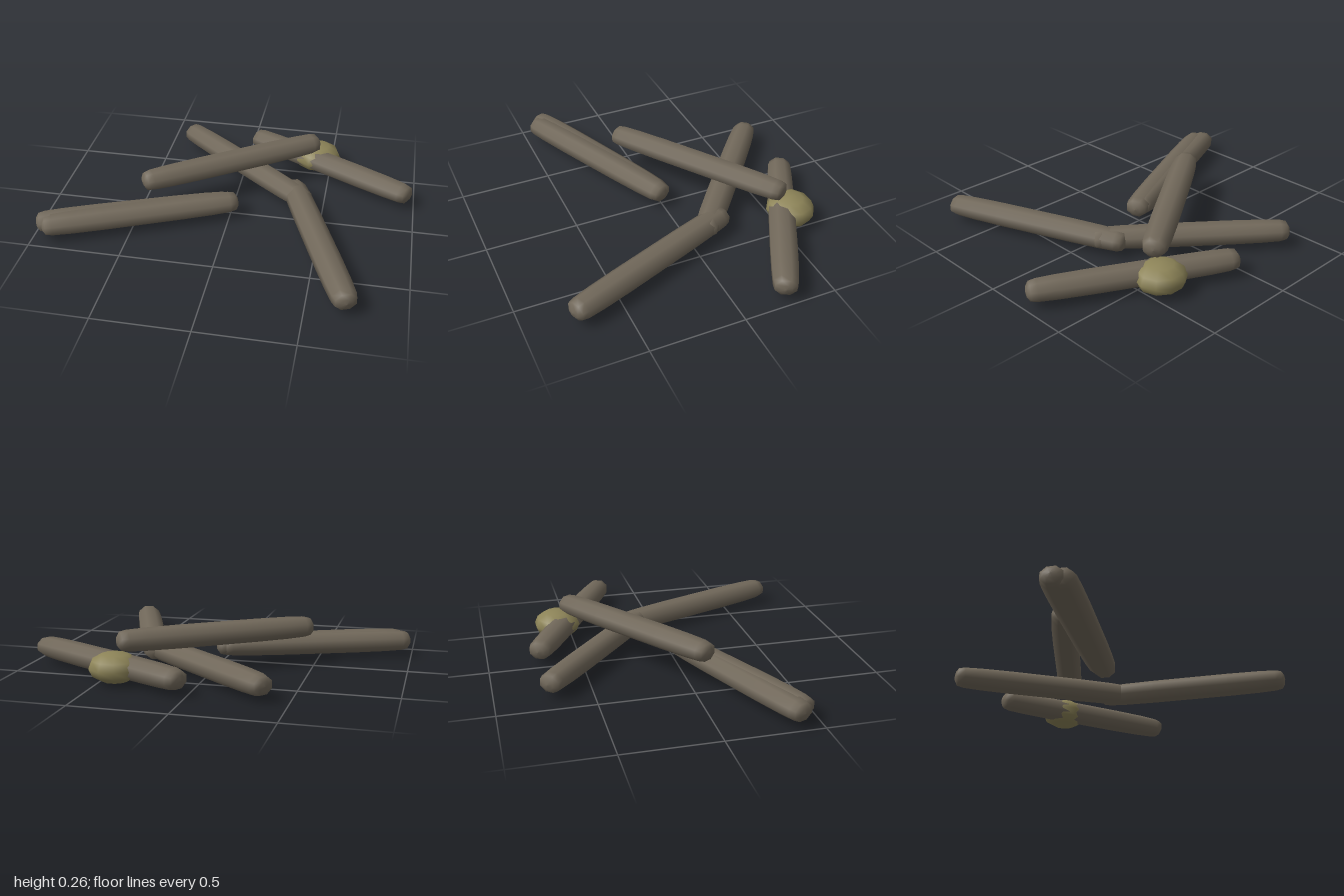
import * as THREE from 'three';

export function createModel() {
  const group = new THREE.Group();
  group.name = 'sticksAndStone';
  const wood = new THREE.MeshStandardMaterial({ name: 'weatheredWood', color: 0x71685a });
  const stoneMat = new THREE.MeshStandardMaterial({ name: 'mossyStone', color: 0x8d8458 });

  // Eight-sided stick of half length 1 along x, with worn, chamfered ends
  const half = [[1, 0], [0.992, 0.42], [0.965, 0.78], [0.9, 0.9], [0.72, 0.965], [0.4, 1]];
  const profile = [
    ...half.map(([t, r]) => new THREE.Vector2(r, -t)),
    ...half.slice().reverse().map(([t, r]) => new THREE.Vector2(r, t)),
  ];
  const k = 1 / Math.cos(Math.PI / 8);
  const stickGeometry = (length) => new THREE.LatheGeometry(profile, 8, Math.PI / 8)
    .rotateZ(-Math.PI / 2)
    .scale(length / 2, 0.057 * k, 0.069 * k);

  // Each stick: name, start x/z, end x/z, centre height
  const sticks = [
    ['backLeftStick', -0.39, -0.735, 0.415, -0.07, 0.08],
    ['frontStick', 0.315, -0.23, 0.705, 0.765, 0.08],
    ['backRightStick', 0.02, -0.735, 0.975, -0.23, 0.08],
    ['sideStick', -0.985, 0.4, 0.01, 0.0, 0.08],
    ['sideStickPair', -0.945, 0.43, 0.04, -0.005, 0.081],
    ['topStick', -0.475, 0.085, 0.425, -0.53, 0.201],
  ];
  for (const [name, x0, z0, x1, z1, y] of sticks) {
    const dx = x1 - x0, dz = z1 - z0;
    const stick = new THREE.Mesh(stickGeometry(Math.hypot(dx, dz)), wood);
    stick.name = name;
    stick.position.set((x0 + x1) / 2, y, (z0 + z1) / 2);
    stick.rotation.y = Math.atan2(-dz, dx);
    group.add(stick);
  }

  // Flattened stone lying over one stick
  const stone = new THREE.Mesh(new THREE.SphereGeometry(1, 10, 6), stoneMat);
  stone.name = 'stone';
  stone.scale.set(0.138, 0.08, 0.13);
  stone.position.set(0.418, 0.08, -0.577);
  group.add(stone);

  return group;
}
